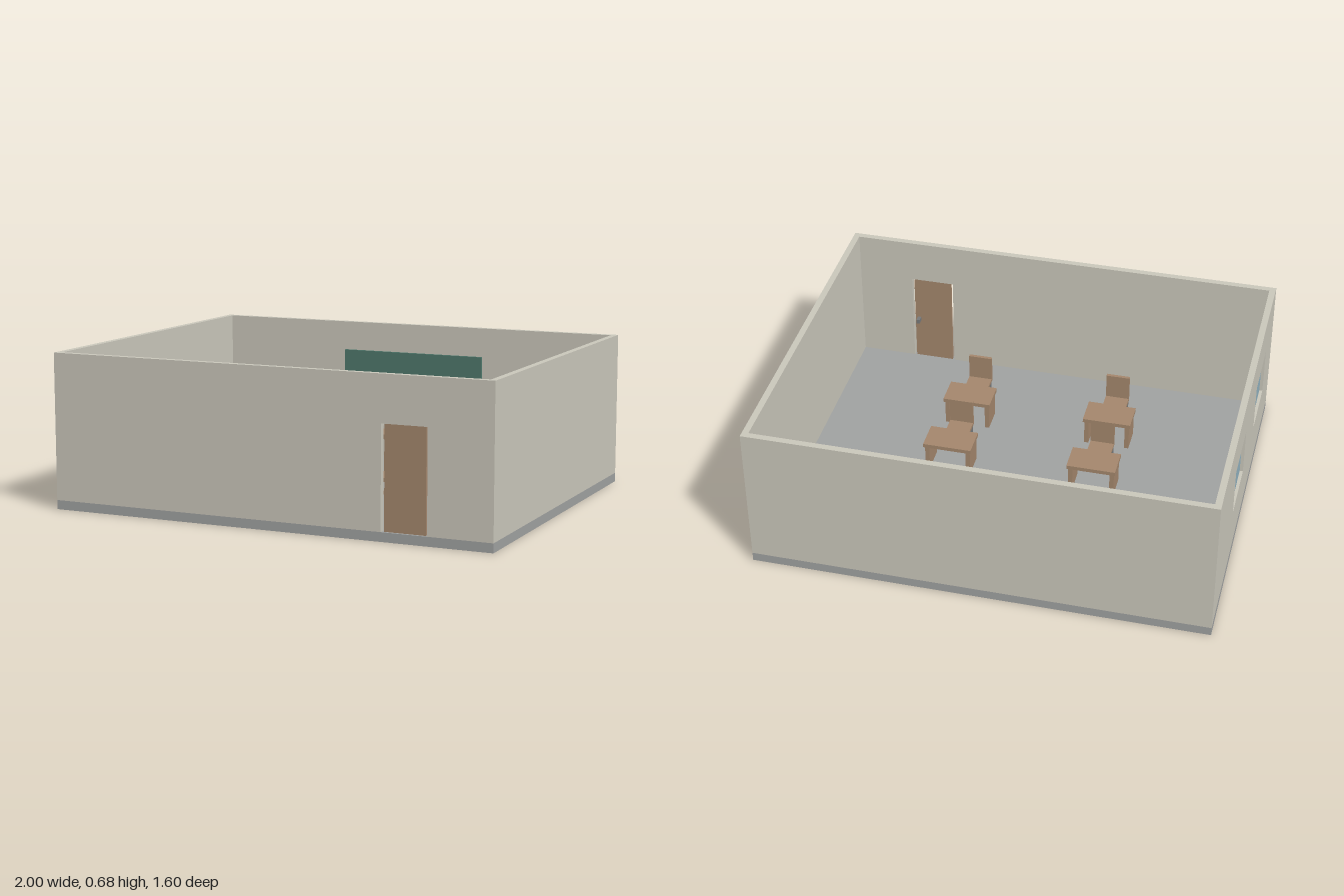
import * as THREE from 'three';

const mat = (name, color) => {
  const m = new THREE.MeshStandardMaterial({ color });
  m.name = name;
  return m;
};

export function createModel() {
  const wallPaint = mat('wall paint', 0xc9c6ba);
  const floorGrey = mat('floor grey', 0x9fa1a0);
  const wood = mat('wood', 0xa3866c);
  const boardGreen = mat('board green', 0x4e776b);
  const glass = mat('window glass', 0x8fafbd);
  const metal = mat('metal', 0x77797a);

  const room = new THREE.Group();
  room.name = 'classroom';

  // Box given by its min and max corners
  const box = (parent, name, material, x0, x1, y0, y1, z0, z1) => {
    const mesh = new THREE.Mesh(new THREE.BoxGeometry(x1 - x0, y1 - y0, z1 - z0), material);
    mesh.position.set((x0 + x1) / 2, (y0 + y1) / 2, (z0 + z1) / 2);
    mesh.name = name;
    parent.add(mesh);
    return mesh;
  };

  const T = 0.028, FLOOR = 0.04, TOP = 0.68, X = 1, Z = 0.8;

  // Floor slab and the two plain walls
  box(room, 'floor', floorGrey, -X, X, 0, FLOOR, -Z, Z);
  box(room, 'backWall', wallPaint, -X, X, FLOOR, TOP, -Z, -Z + T);
  box(room, 'rightHandWall', wallPaint, X - T, X, FLOOR, TOP, -Z + T, Z - T);

  // Front wall with a doorway notch
  const front = new THREE.Shape([
    [-X, FLOOR], [0.52, FLOOR], [0.52, 0.48], [0.72, 0.48],
    [0.72, FLOOR], [X, FLOOR], [X, TOP], [-X, TOP],
  ].map(([x, y]) => new THREE.Vector2(x, y)));
  const extrude = { depth: T, bevelEnabled: false };
  const frontWall = new THREE.Mesh(new THREE.ExtrudeGeometry(front, extrude), wallPaint);
  frontWall.position.z = Z - T;
  frontWall.name = 'frontWall';
  room.add(frontWall);

  // Door leaf and its inside handle
  box(room, 'door', wood, 0.53, 0.71, FLOOR, 0.48, 0.775, 0.788);
  box(room, 'doorHandle', metal, 0.683, 0.699, 0.245, 0.265, 0.745, 0.775);

  // Side wall with two window openings
  const rect = (C, u0, u1, y0, y1) => new C([
    [u0, y0], [u1, y0], [u1, y1], [u0, y1],
  ].map(([u, y]) => new THREE.Vector2(u, y)));
  const side = rect(THREE.Shape, -Z + T, Z - T, FLOOR, TOP);
  const W0 = 0.27, W1 = 0.49, HALF = 0.143;
  for (const z of [-0.18, 0.42]) {
    side.holes.push(rect(THREE.Path, -z - HALF, -z + HALF, W0, W1));
    box(room, 'windowPane', glass, -0.986, -0.979, W0, W1, z - HALF, z + HALF);
    box(room, 'windowBar', metal, -0.979, -0.972, W0, W1, z - 0.009, z + 0.009);
  }
  const windowWall = new THREE.Mesh(new THREE.ExtrudeGeometry(side, extrude), wallPaint);
  windowWall.rotation.y = Math.PI / 2;
  windowWall.position.x = -X;
  windowWall.name = 'windowWall';
  room.add(windowWall);

  // Chalkboard on the back wall
  box(room, 'chalkboard', boardGreen, -0.352, 0.35, 0.265, 0.545, -Z + T, -0.757);

  // Desk: a flat top on two side panels
  const desk = (name, x, z, w, d, h, top, panel) => {
    const g = new THREE.Group();
    g.name = name;
    g.position.set(x, FLOOR, z);
    box(g, 'deskTop', wood, -w / 2, w / 2, h - top, h, -d / 2, d / 2);
    for (const s of [-1, 1]) {
      const c = s * (w / 2 - 0.006 - panel / 2);
      box(g, 'deskPanel', wood, c - panel / 2, c + panel / 2, 0, h - top, -d / 2 + 0.01, d / 2 - 0.01);
    }
    room.add(g);
  };

  // Chair: seat, upright back and two side supports
  const chair = (x, z) => {
    const g = new THREE.Group();
    g.name = 'chair';
    g.position.set(x, FLOOR, z);
    box(g, 'seat', wood, -0.054, 0.054, 0.078, 0.093, -0.052, 0.052);
    box(g, 'chairBack', wood, -0.054, 0.054, 0.093, 0.21, 0.037, 0.052);
    for (const s of [-1, 1])
      box(g, 'chairSupport', metal, s * 0.046 - 0.006, s * 0.046 + 0.006, 0, 0.078, -0.045, 0.045);
    room.add(g);
  };

  desk('teacherDesk', -0.002, -0.475, 0.34, 0.15, 0.17, 0.022, 0.03);
  for (const x of [-0.332, 0.328]) {
    for (const z of [0, 0.348]) {
      desk('pupilDesk', x, z - 0.002, 0.22, 0.136, 0.14, 0.018, 0.02);
      chair(x, z + 0.152);
    }
  }
  return room;
}
